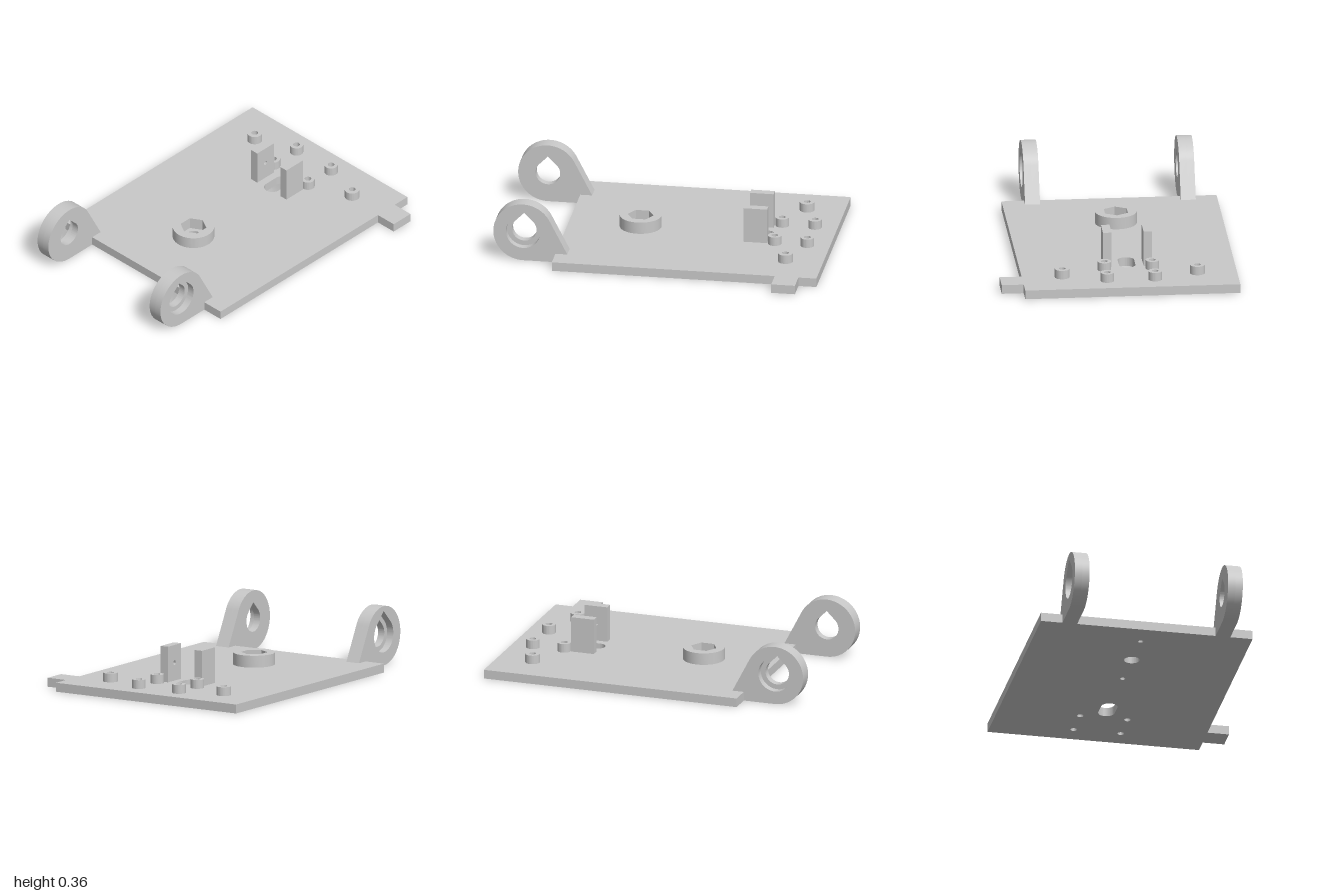
import * as THREE from 'three';
import { toCreasedNormals } from 'three/addons/utils/BufferGeometryUtils.js';

const grey = new THREE.MeshStandardMaterial({ color: 0xc8c8c8 });
grey.name = 'light grey plastic';

const MID_Z = -0.07;
const PLATE_TOP = 0.055;
const BOSS_X = -0.181;
const screwPosts = [[0.663, -0.216], [0.863, -0.216], [0.663, 0.075], [0.863, 0.075]];
const blindPosts = [[0.772, -0.48], [0.772, 0.341]];

function extrude(shape, depth) {
  return new THREE.ExtrudeGeometry(shape, { depth, bevelEnabled: false, curveSegments: 32 });
}

function addMesh(parent, name, geometry) {
  const mesh = new THREE.Mesh(toCreasedNormals(geometry, 0.5), grey);
  mesh.name = name;
  parent.add(mesh);
}

// Plan outlines are drawn in (x, -z) and raised from y0 to y1
function addSlab(parent, name, shape, y0, y1) {
  addMesh(parent, name, extrude(shape, y1 - y0).rotateX(-Math.PI / 2).translate(0, y0, 0));
}

// Outlines in (x, y) extruded between two z positions
function addUpright(parent, name, shape, za, zb) {
  addMesh(parent, name, extrude(shape, Math.abs(zb - za)).translate(0, 0, Math.min(za, zb)));
}

function circle(x, y, r, Type = THREE.Path) {
  const c = new Type();
  c.absarc(x, y, r, 0, Math.PI * 2, false);
  return c;
}

function polygon(points, Type = THREE.Shape) {
  return new Type(points.map(([x, y]) => new THREE.Vector2(x, y)));
}

// Round hole with a 45 degree peak on top
function teardrop(x, y, r) {
  const p = new THREE.Path();
  p.absarc(x, y, r, Math.PI * 0.75, Math.PI * 2.25, false);
  p.lineTo(x, y + r * Math.SQRT2);
  p.closePath();
  return p;
}

function plateShape(withBlindHoles) {
  const s = polygon([[-0.62, -0.585], [0.745, -0.585], [0.745, -0.718], [0.89, -0.718],
    [0.89, -0.585], [1, -0.585], [1, 0.72], [-0.62, 0.72]]);
  const slot = new THREE.Path();
  slot.absarc(0.503, -MID_Z, 0.05, Math.PI / 2, Math.PI * 1.5, false);
  slot.absarc(0.588, -MID_Z, 0.05, -Math.PI / 2, Math.PI / 2, false);
  slot.closePath();
  s.holes.push(slot, circle(BOSS_X, -MID_Z, 0.047));
  for (const [x, z] of screwPosts) s.holes.push(circle(x, -z, 0.02));
  if (withBlindHoles) for (const x of [0.092, -0.45]) s.holes.push(circle(x, -MID_Z, 0.016));
  return s;
}

// Hinge ear: round eye running down a tangent onto the plate
function earShape(holeRadius) {
  const cx = -0.818, cy = 0.182, r = 0.182;
  const toe = [-0.547, PLATE_TOP];
  const dx = toe[0] - cx, dy = toe[1] - cy;
  const tangent = Math.atan2(dy, dx) + Math.acos(r / Math.hypot(dx, dy));
  const s = new THREE.Shape();
  s.absarc(cx, cy, r, tangent, Math.PI * 1.5, false);
  s.lineTo(-0.62, 0);
  s.lineTo(-0.62, PLATE_TOP);
  s.lineTo(...toe);
  s.closePath();
  s.holes.push(teardrop(cx, cy + 0.003, holeRadius));
  return s;
}

export function createModel() {
  const model = new THREE.Group();
  model.name = 'hingedMountingPlate';

  // Base plate, with shallow holes in the underside
  const plate = new THREE.Group();
  plate.name = 'basePlate';
  addSlab(plate, 'plateLowerLayer', plateShape(true), 0, 0.03);
  addSlab(plate, 'plateUpperLayer', plateShape(false), 0.03, PLATE_TOP);
  model.add(plate);

  // Hinge ears, counterbored on their outer faces
  for (const [name, inner, outer] of [['frontEar', 0.357, 0.448], ['rearEar', -0.497, -0.588]]) {
    const ear = new THREE.Group();
    ear.name = name;
    const mid = (inner + outer) / 2;
    addUpright(ear, 'earInnerHalf', earShape(0.075), inner, mid);
    addUpright(ear, 'earOuterHalf', earShape(0.105), mid, outer);
    model.add(ear);
  }

  // Round boss with a hexagonal nut pocket
  const boss = circle(BOSS_X, -MID_Z, 0.127, THREE.Shape);
  const hex = [];
  for (let i = 0; i < 6; i++) {
    const a = i * Math.PI / 3;
    hex.push([BOSS_X + 0.08 * Math.cos(a), -MID_Z + 0.08 * Math.sin(a)]);
  }
  boss.holes.push(polygon(hex, THREE.Path));
  addSlab(model, 'nutBoss', boss, PLATE_TOP, 0.128);

  // Hollow posts
  for (const [x, z, r] of [...screwPosts.map(p => [...p, 0.041]), ...blindPosts.map(p => [...p, 0.045])]) {
    const post = circle(x, -z, r, THREE.Shape);
    post.holes.push(circle(x, -z, 0.02));
    addSlab(model, 'post', post, PLATE_TOP, 0.109);
  }

  // Pair of upright blocks with pivot dimples on the facing sides
  for (const side of [1, -1]) {
    const block = new THREE.Group();
    block.name = side > 0 ? 'frontBlock' : 'rearBlock';
    const corners = [[0.472, PLATE_TOP], [0.617, PLATE_TOP], [0.617, 0.274], [0.472, 0.274]];
    const dimpled = polygon(corners);
    dimpled.holes.push(circle(0.5445, 0.165, 0.014));
    addUpright(block, 'dimpledFace', dimpled, MID_Z + side * 0.097, MID_Z + side * 0.123);
    addUpright(block, 'blockBack', polygon(corners), MID_Z + side * 0.123, MID_Z + side * 0.149);
    model.add(block);
  }

  return model;
}
